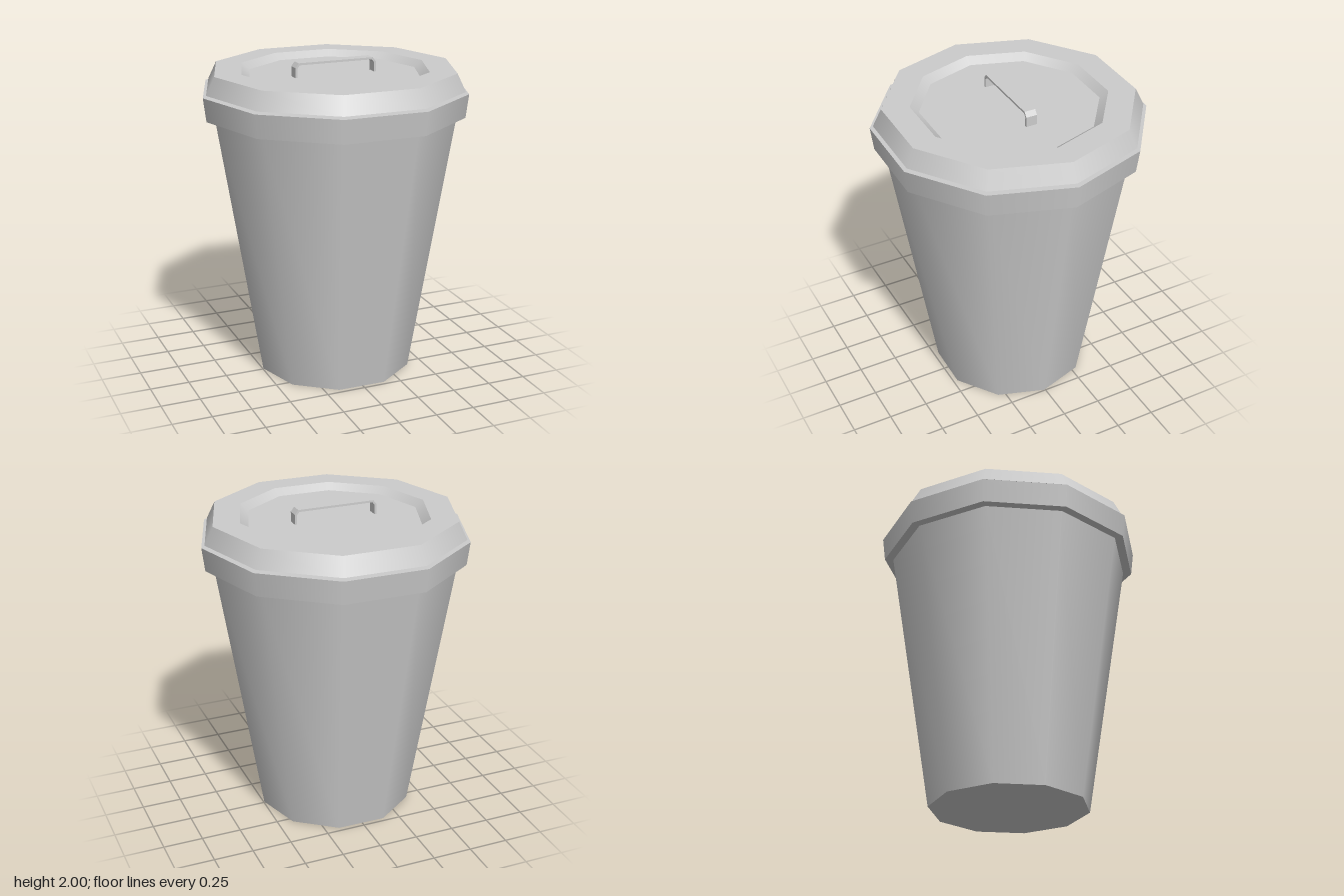
import * as THREE from 'three';
import { mergeGeometries } from 'three/addons/utils/BufferGeometryUtils.js';

const SIDES = 10;
const START = Math.PI / 2 - 0.015;

// Ten-sided turned part: smooth around, sharp between the bands of the profile.
function turned(name, profile, material) {
  const bands = [];
  for (let i = 0; i < profile.length - 1; i++) {
    const pair = [profile[i], profile[i + 1]].map(([r, y]) => new THREE.Vector2(r, y));
    bands.push(new THREE.LatheGeometry(pair, SIDES, START));
  }
  const mesh = new THREE.Mesh(mergeGeometries(bands), material);
  mesh.name = name;
  return mesh;
}

export function createModel() {
  const group = new THREE.Group();
  group.name = 'lidded bin';
  const grey = new THREE.MeshStandardMaterial({ color: 0xcccccc, side: THREE.DoubleSide });

  // Tapered bin with overhanging rim and hollow inside
  group.add(turned('bin', [
    [0, 0], [0.495, 0], [0.767, 1.68], [0.822, 1.68], [0.84, 1.827],
    [0.765, 1.827], [0.475, 0.03], [0, 0.03],
  ], grey));

  // Bevelled lid with a shallow recess, sitting just above the rim
  group.add(turned('lid', [
    [0, 1.84], [0.82, 1.84], [0.766, 1.95], [0.597, 1.95], [0.545, 1.91], [0, 1.91],
  ], grey));

  // Strap handle with chamfered corners
  const outline = [
    [0.267, 1.905], [0.267, 1.972], [0.245, 2], [-0.245, 2], [-0.267, 1.972], [-0.267, 1.905],
    [-0.254, 1.905], [-0.254, 1.968], [-0.239, 1.987], [0.239, 1.987], [0.254, 1.968], [0.254, 1.905],
  ];
  const strap = new THREE.Shape(outline.map(([x, y]) => new THREE.Vector2(x, y)));
  const strapGeometry = new THREE.ExtrudeGeometry(strap, { depth: 0.07, bevelEnabled: false });
  strapGeometry.translate(0, 0, -0.035);
  const handle = new THREE.Mesh(strapGeometry, grey);
  handle.name = 'handle';
  group.add(handle);

  return group;
}
